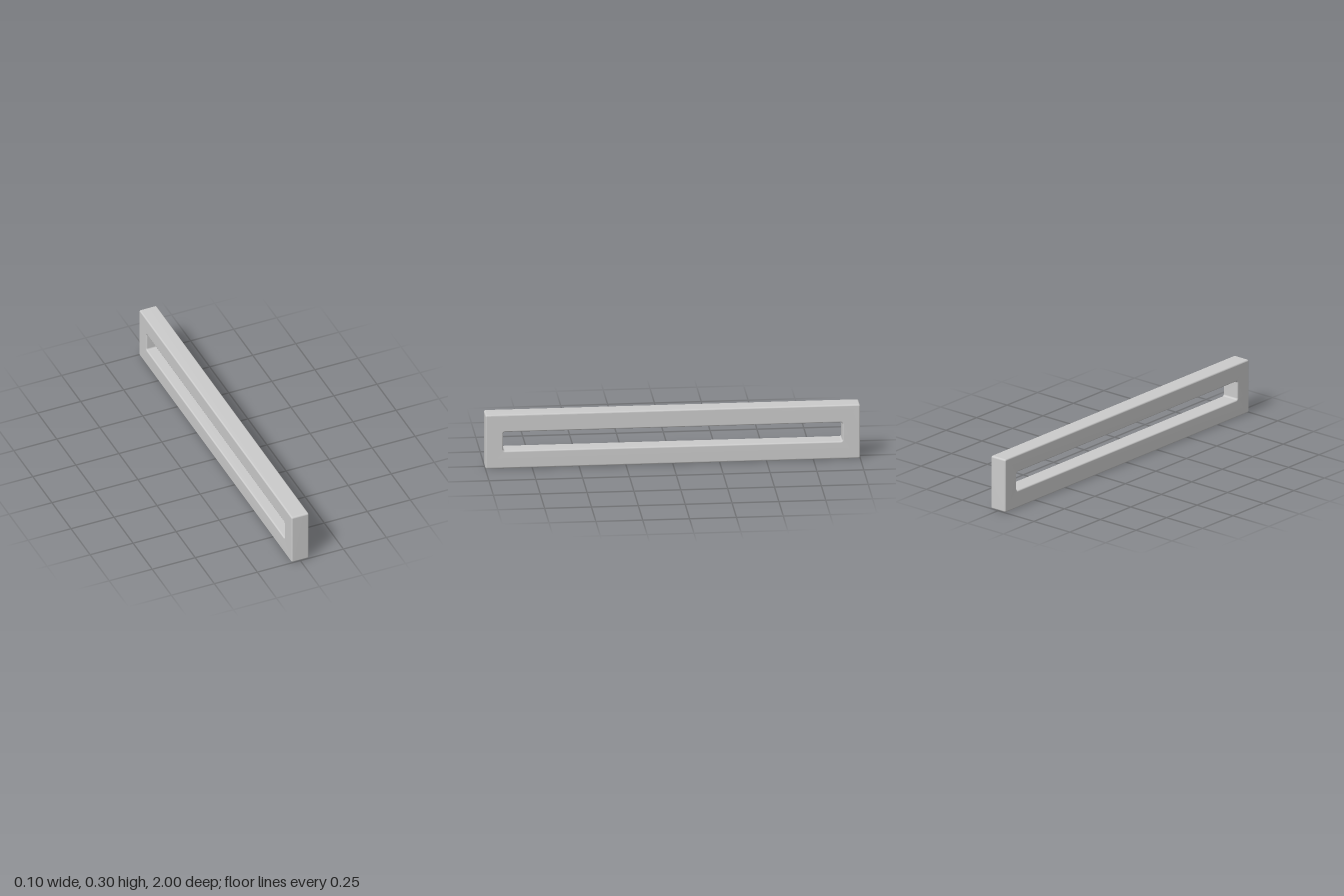
import * as THREE from 'three';
import { mergeVertices } from 'three/addons/utils/BufferGeometryUtils.js';

// Rounded rectangle outline, centred on (0, cy)
function roundedRect(path, w, h, cy, r) {
  const x = w / 2 - r, y = h / 2 - r;
  path.absarc(x, cy + y, r, 0, Math.PI / 2);
  path.absarc(-x, cy + y, r, Math.PI / 2, Math.PI);
  path.absarc(-x, cy - y, r, Math.PI, Math.PI * 1.5);
  path.absarc(x, cy - y, r, Math.PI * 1.5, Math.PI * 2);
  path.closePath();
  return path;
}

export function createModel() {
  const group = new THREE.Group();
  group.name = 'slottedBar';

  const thickness = 0.1, bevel = 0.008, radius = 0.01;

  // Long upright frame with a slot through its side
  const outline = roundedRect(new THREE.Shape(), 2, 0.3, 0.15, radius);
  outline.holes.push(roundedRect(new THREE.Path(), 1.81, 0.105, 0.15, radius));

  let geometry = new THREE.ExtrudeGeometry(outline, {
    depth: thickness - 2 * bevel,
    bevelThickness: bevel,
    bevelSize: bevel,
    bevelOffset: -bevel,
    bevelSegments: 4,
    curveSegments: 5,
  });
  geometry.translate(0, 0, bevel - thickness / 2);
  geometry.rotateY(Math.PI / 2);

  // Weld so the small rounded edges shade smoothly into the flat faces
  geometry.deleteAttribute('normal');
  geometry.deleteAttribute('uv');
  geometry = mergeVertices(geometry, 1e-5);
  geometry.computeVertexNormals();

  const frame = new THREE.Mesh(geometry, new THREE.MeshStandardMaterial({ color: 0xcccccc }));
  frame.name = 'frame';
  group.add(frame);
  return group;
}
